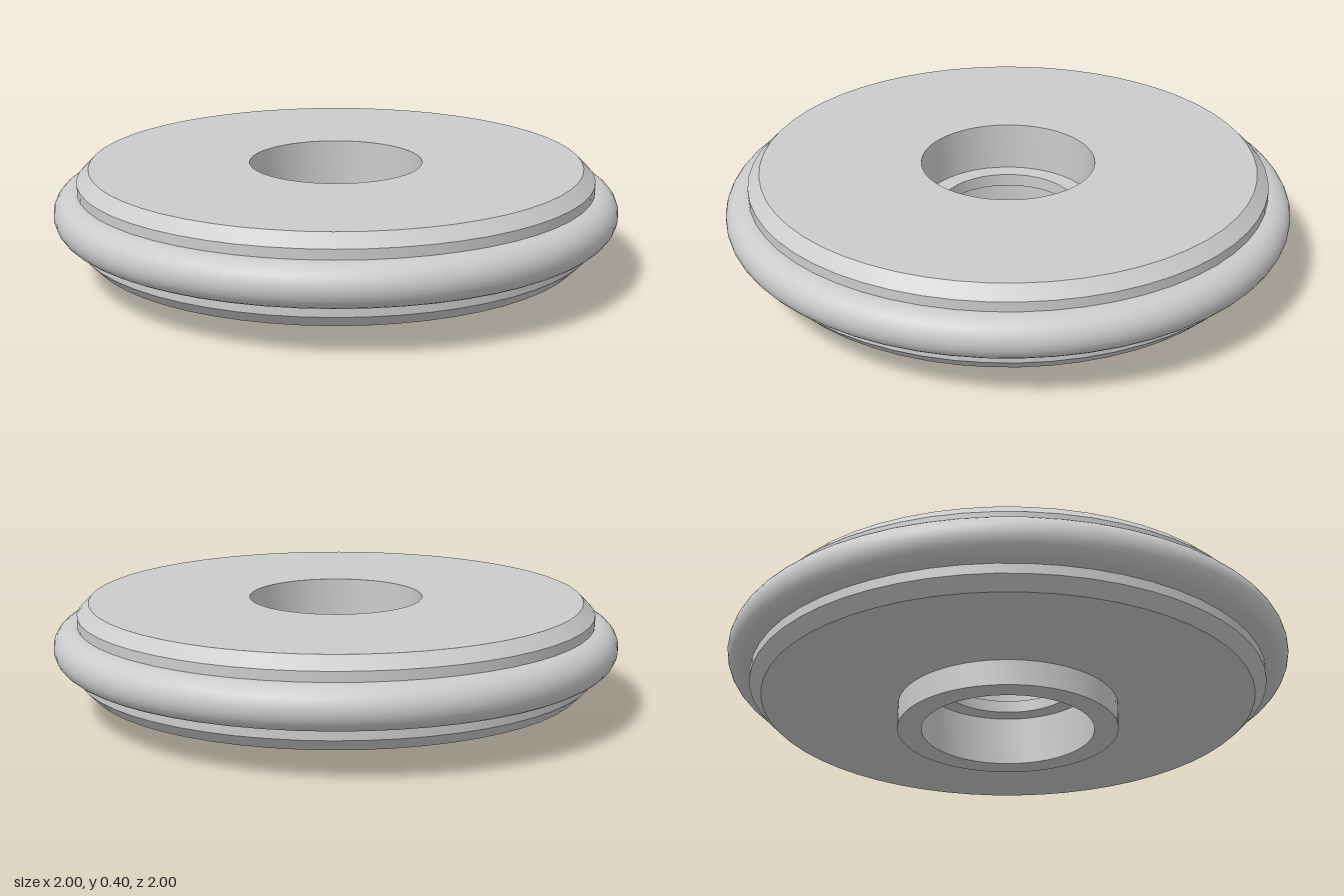
import * as THREE from 'three';
import { toCreasedNormals } from 'three/addons/utils/BufferGeometryUtils.js';

const SEGMENTS = 56;
const material = new THREE.MeshStandardMaterial({ color: 0xcccccc });

// Revolves a counter-clockwise [radius, height] profile around y, keeping hard edges sharp
function revolve(name, profile) {
  const points = profile.map(([r, y]) => new THREE.Vector2(r, y));
  const geometry = toCreasedNormals(new THREE.LatheGeometry(points, SEGMENTS), 0.5);
  const mesh = new THREE.Mesh(geometry, material);
  mesh.name = name;
  return mesh;
}

export function createModel() {
  const group = new THREE.Group();
  group.name = 'wheel';

  const hub = 0.392, bore = 0.307, lip = 0.243;
  const rim = 0.917, face = 0.875;
  const middle = 0.245, tyreRadius = 0.075;

  // Chamfered disc with a hub below and a stepped bore through the centre
  group.add(revolve('wheelBody', [
    [bore, 0], [hub, 0], [hub, 0.092],
    [face, 0.092], [rim, 0.135], [rim, 0.355], [face, 0.398],
    [bore, 0.398], [bore, 0.225], [lip, 0.225], [lip, 0.18], [bore, 0.18], [bore, 0],
  ]));

  // Half-round tyre around the rim
  const tyre = [[rim, middle - tyreRadius]];
  for (let i = 0; i <= 16; i++) {
    const a = -Math.PI / 2 + (Math.PI * i) / 16;
    tyre.push([1 - tyreRadius + tyreRadius * Math.cos(a), middle + tyreRadius * Math.sin(a)]);
  }
  tyre.push([rim, middle + tyreRadius]);
  group.add(revolve('tyre', tyre));

  return group;
}
